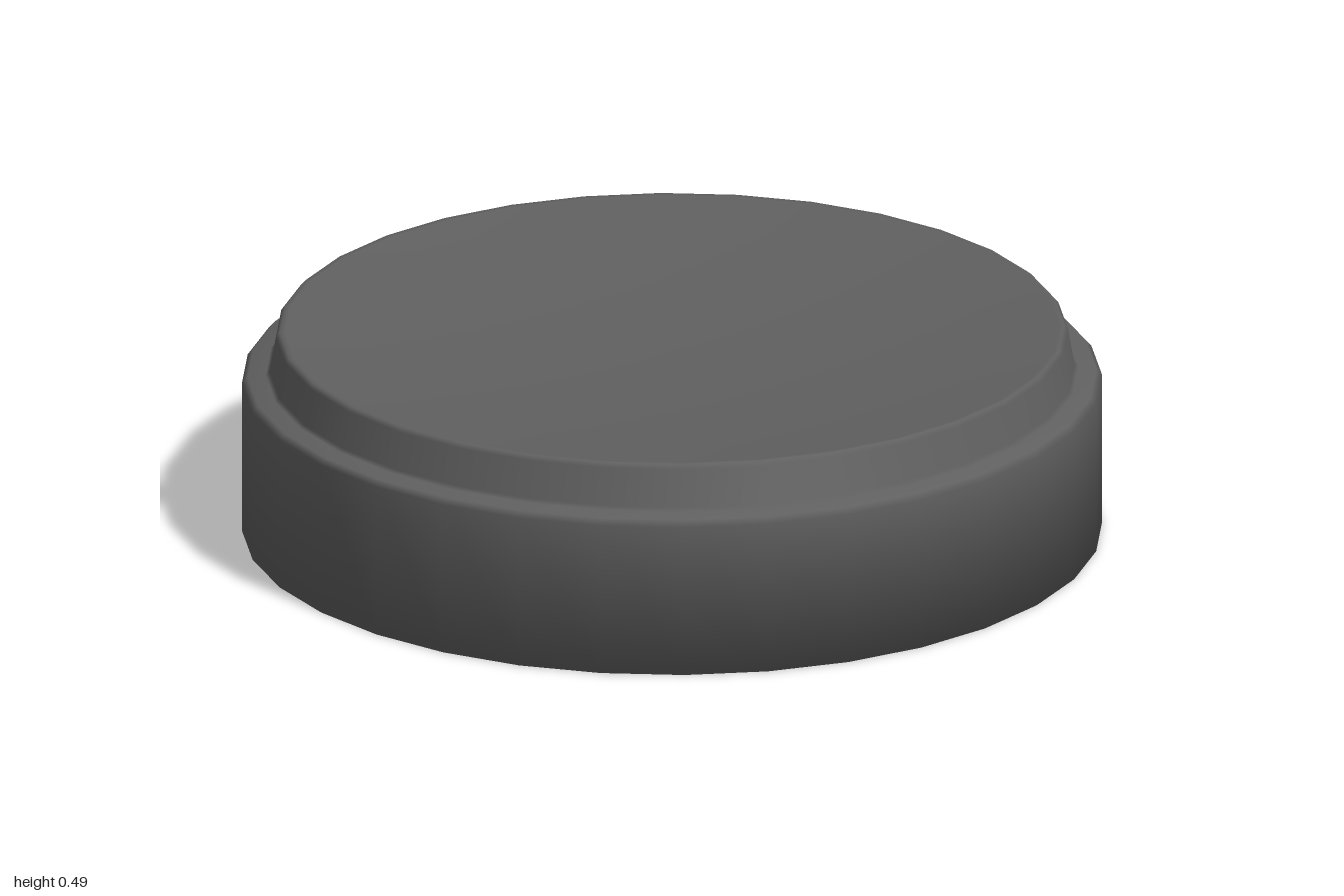
import * as THREE from 'three';

export function createModel() {
  const group = new THREE.Group();
  group.name = 'steppedDisc';

  // Half section from the underside centre, up the wall and over the ledge to the rim
  const profile = [
    [0, 0], [0.63, 0], [1, 0], [1, 0.365], [0.987, 0.379],
    [0.945, 0.384], [0.936, 0.392], [0.921, 0.48], [0.912, 0.49],
  ].map(([r, y]) => new THREE.Vector2(r, y));

  // Shallow dished top, sinking from the rim to the centre
  const rim = 0.9, depth = 0.055, rings = 6;
  for (let i = 0; i <= rings; i++) {
    const t = 1 - i / rings;
    profile.push(new THREE.Vector2(rim * t, 0.489 - depth * (1 - t * t)));
  }

  // 32-sided disc, shaded smooth throughout
  const disc = new THREE.Mesh(
    new THREE.LatheGeometry(profile, 32),
    new THREE.MeshStandardMaterial({ color: 0x606060 }),
  );
  disc.name = 'disc';
  group.add(disc);

  return group;
}
